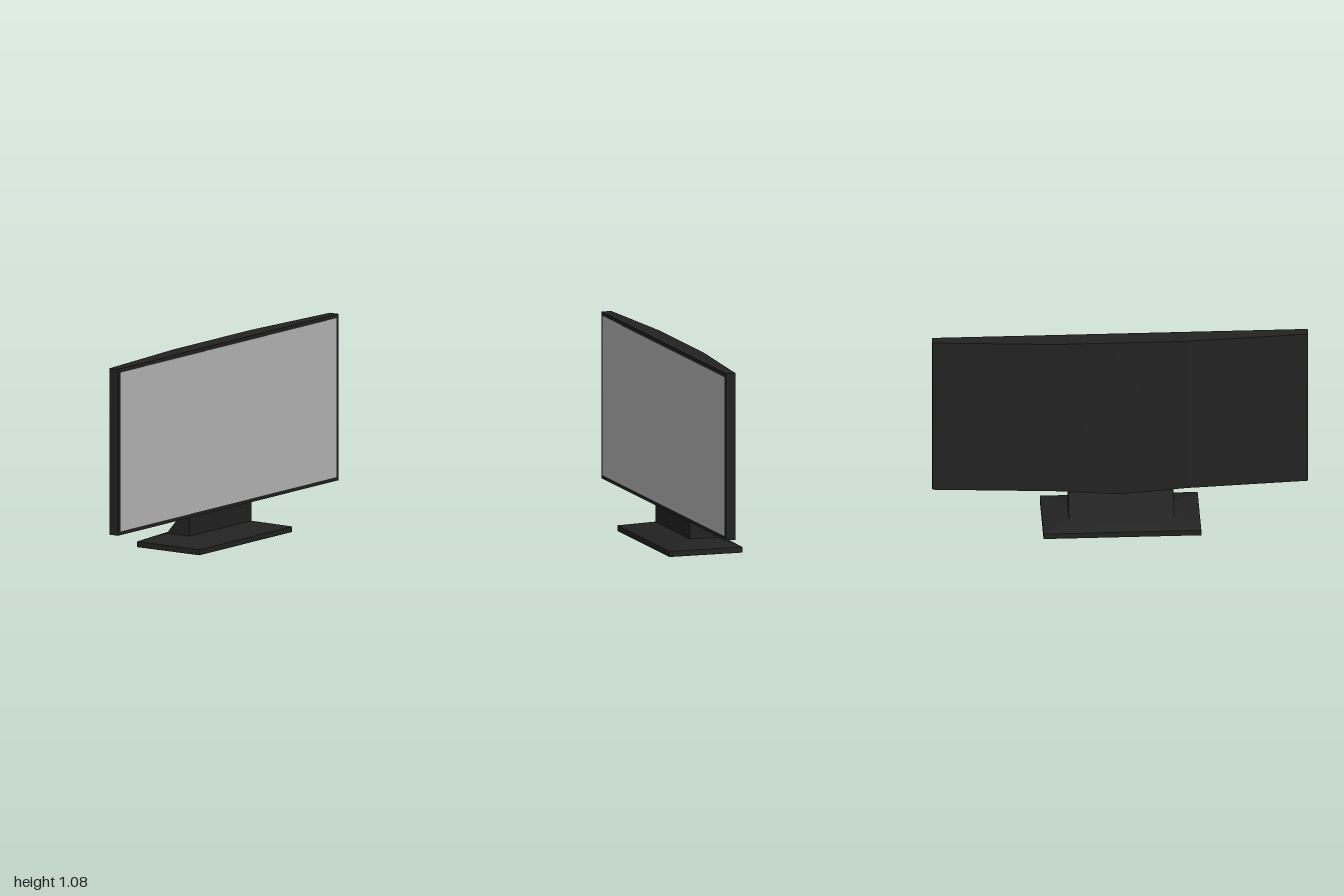
import * as THREE from 'three';

// Flat-shaded solid through stacked rings of [x, z] points (counter-clockwise from above)
function loft(levels) {
  const pos = [];
  const tri = (a, b, c) => pos.push(...a, ...b, ...c);
  const rings = levels.map(({ y, ring }) => ring.map(([x, z]) => [x, y, z]));
  const n = rings[0].length;
  for (let k = 0; k < rings.length - 1; k++) {
    for (let i = 0; i < n; i++) {
      const j = (i + 1) % n;
      const a = rings[k][i], b = rings[k][j], c = rings[k + 1][j], d = rings[k + 1][i];
      // mirrored diagonals keep both halves symmetrical
      if (a[0] + b[0] < 0) { tri(a, b, d); tri(b, c, d); }
      else { tri(a, b, c); tri(a, c, d); }
    }
  }
  const low = rings[0], high = rings[rings.length - 1];
  for (let i = 1; i < n - 1; i++) {
    tri(low[0], low[i + 1], low[i]);
    tri(high[0], high[i], high[i + 1]);
  }
  const g = new THREE.BufferGeometry();
  g.setAttribute('position', new THREE.Float32BufferAttribute(pos, 3));
  g.computeVertexNormals();
  return g;
}

// Five-sided section: straight front and sides, back pointed in the middle
const section = (w, front, side, middle) =>
  [[-w, front], [w, front], [w, side], [0, middle], [-w, side]];

// Housing section: thin edges swelling to a ridge at the back
const housingRing = (ridge) => [
  [-1, 0.09], [1, 0.09], [1, 0.036], [0.35, -0.011], [0, ridge], [-0.35, -0.011], [-1, 0.036],
];

export function createModel() {
  const model = new THREE.Group();
  model.name = 'monitor';

  const casing = new THREE.MeshStandardMaterial({ color: 0x222222 });
  casing.name = 'black casing';
  const glass = new THREE.MeshStandardMaterial({ color: 0xbababa });
  glass.name = 'grey screen';

  const add = (name, geometry, material) => {
    const mesh = new THREE.Mesh(geometry, material);
    mesh.name = name;
    model.add(mesh);
    return mesh;
  };

  // Foot plate with bevelled top
  const neckFoot = section(0.28, 0.04, -0.11, -0.155);
  const plate = section(0.42, 0.205, -0.205, -0.205);
  add('base', loft([
    { y: 0, ring: plate },
    { y: 0.03, ring: plate },
    { y: 0.064, ring: neckFoot },
  ]), casing);

  // Neck leaning forward to meet the housing
  add('neck', loft([
    { y: 0.064, ring: neckFoot },
    { y: 0.181, ring: section(0.28, 0.04, -0.011, -0.055) },
  ]), casing);

  // Housing, thickest at the lower middle of the back
  add('housing', loft([
    { y: 0.18, ring: housingRing(-0.055) },
    { y: 1.08, ring: housingRing(-0.011) },
  ]), casing);

  // Thin display plate, leaving an even bezel
  add('screen', new THREE.BoxGeometry(1.96, 0.86, 0.004), glass).position.set(0, 0.63, 0.09);

  return model;
}
